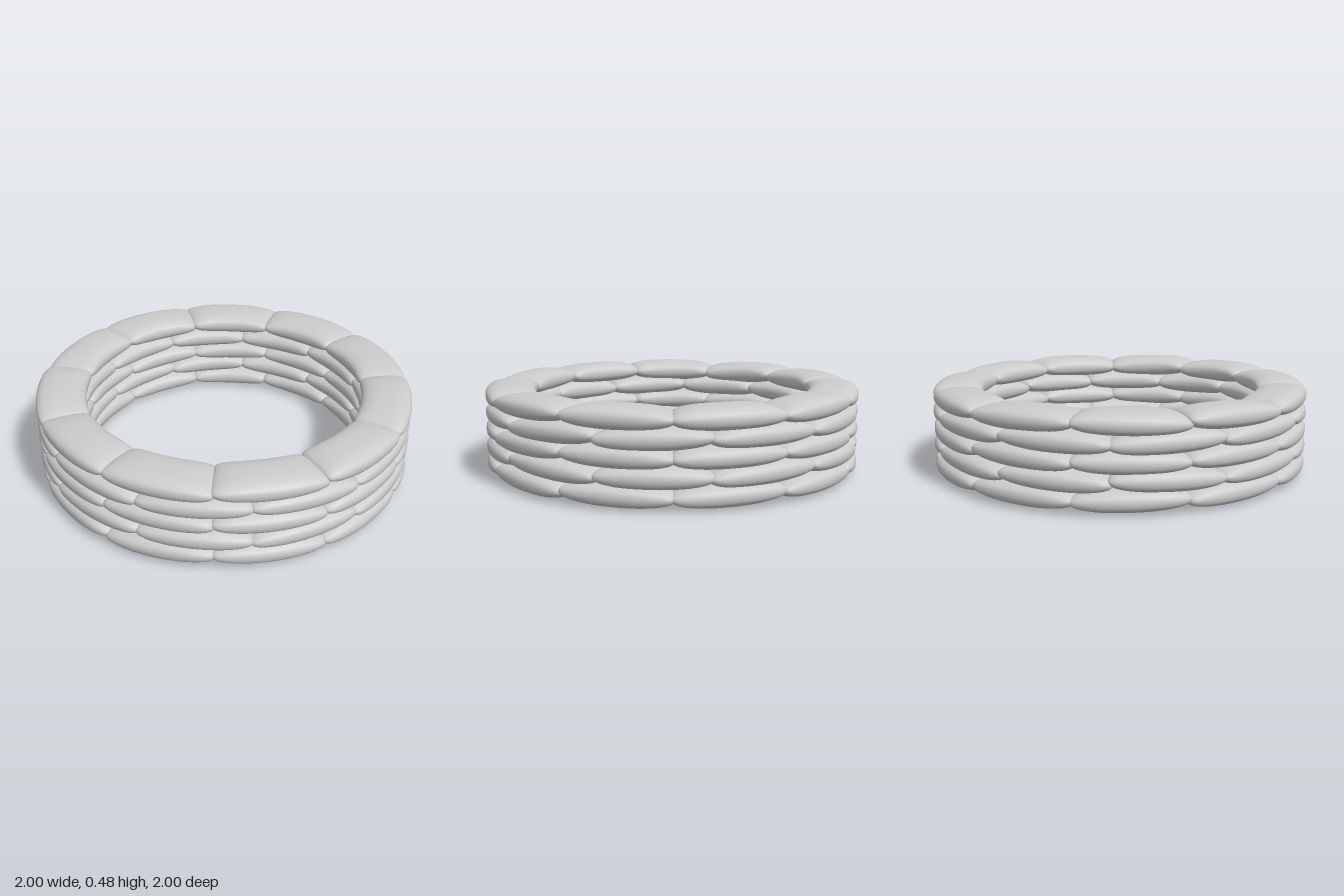
import * as THREE from 'three';
import { mergeVertices } from 'three/addons/utils/BufferGeometryUtils.js';

const BAGS = 11, STEP = (Math.PI * 2) / BAGS;
const MID_RADIUS = 0.866, HALF_WIDTH = 0.132, HALF_HEIGHT = 0.058;
const HALF_ANGLE = STEP * 0.525;

const spow = (v, e) => Math.sign(v) * Math.pow(Math.abs(v), e);
const taper = (t, n) => Math.pow(Math.max(0, 1 - Math.pow(Math.abs(t), n)), 1 / n);

// Pillow-shaped bag bent along the ring: blunt in plan, rounded in elevation
function bagGeometry() {
  const sphere = new THREE.SphereGeometry(1, 28, 24).rotateZ(Math.PI / 2);
  sphere.deleteAttribute('uv');
  sphere.deleteAttribute('normal');
  const pos = sphere.attributes.position;
  for (let i = 0; i < pos.count; i++) {
    const t = THREE.MathUtils.clamp(pos.getX(i), -1, 1);
    const phi = Math.atan2(pos.getY(i), pos.getZ(i));
    const radius = MID_RADIUS + HALF_WIDTH * taper(t, 9) * spow(Math.cos(phi), 0.78);
    const y = HALF_HEIGHT * taper(t, 2.6) * spow(Math.sin(phi), 0.78);
    const a = t * HALF_ANGLE;
    pos.setXYZ(i, radius * Math.sin(a), y, radius * Math.cos(a) - MID_RADIUS);
  }
  const geometry = mergeVertices(sphere, 1e-5);
  geometry.computeVertexNormals();
  return geometry;
}

// Small seeded generator for the uneven lie of the bags
function seeded(seed) {
  return () => {
    seed = (seed * 16807) % 2147483647;
    return seed / 2147483647;
  };
}

export function createModel() {
  const model = new THREE.Group();
  model.name = 'sandbagRing';
  const material = new THREE.MeshStandardMaterial({ color: 0xcccccc });
  const geometry = bagGeometry();
  const random = seeded(4217);
  const heights = [0.068, 0.158, 0.247, 0.336, 0.426];

  heights.forEach((y, row) => {
    const layer = new THREE.Group();
    layer.name = `bagLayer${row + 1}`;
    // Alternate layers are shifted so the joints are staggered
    const firstJoint = THREE.MathUtils.degToRad(row % 2 ? 25 : 14.3);
    for (let i = 0; i < BAGS; i++) {
      const place = new THREE.Group();
      place.name = 'bagPlace';
      place.rotation.y = firstJoint + (i + 0.5) * STEP;
      const bag = new THREE.Mesh(geometry, material);
      bag.name = 'sandbag';
      bag.position.set(0, y, MID_RADIUS);
      bag.rotation.set((random() - 0.5) * 0.05, 0, (random() - 0.5) * 0.075);
      place.add(bag);
      layer.add(place);
    }
    model.add(layer);
  });
  return model;
}
